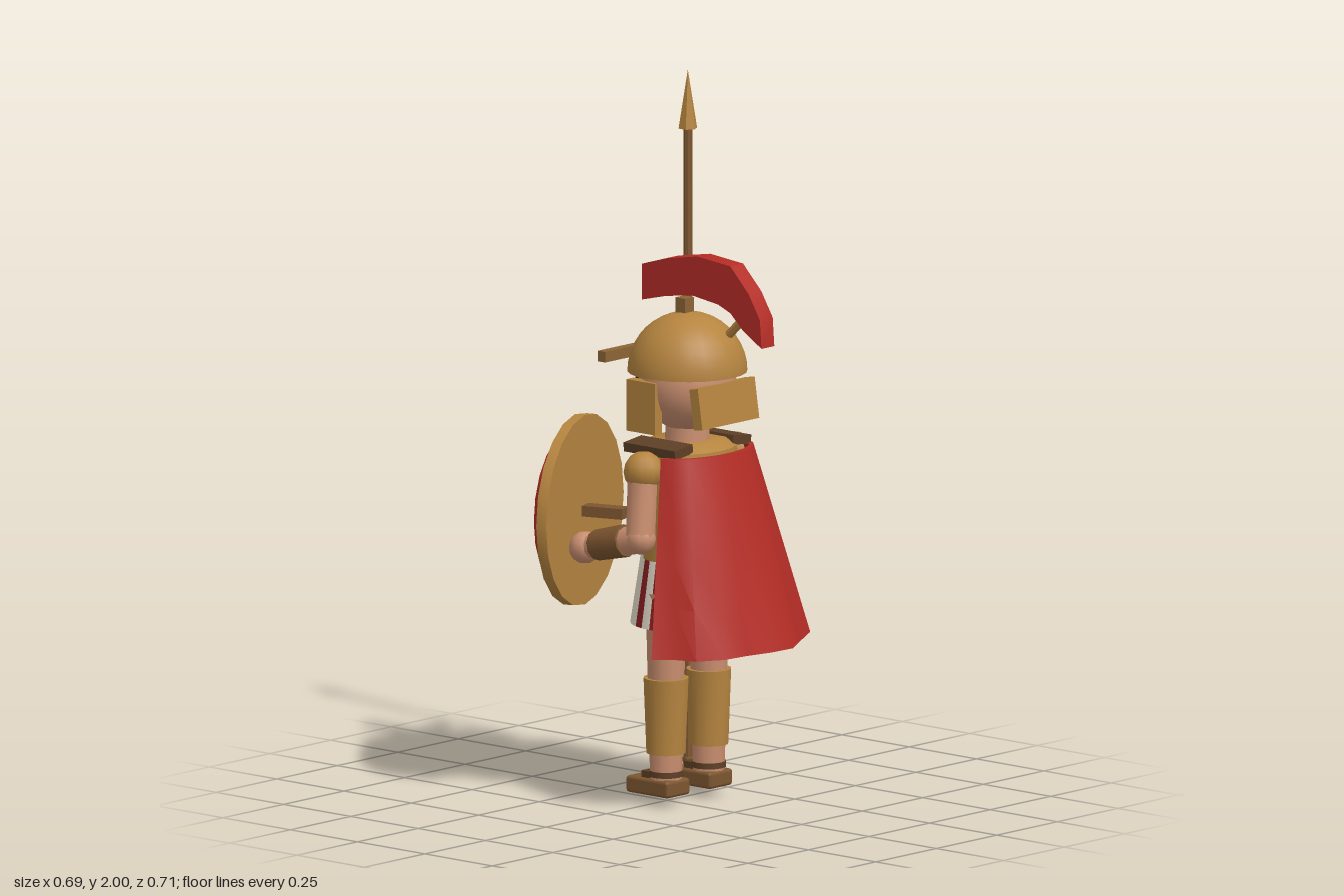
import * as THREE from 'three';
import { toCreasedNormals } from 'three/addons/utils/BufferGeometryUtils.js';
import { RoundedBoxGeometry } from 'three/addons/geometries/RoundedBoxGeometry.js';

const mat = (name, color, side = THREE.FrontSide) => {
  const m = new THREE.MeshStandardMaterial({ color, side });
  m.name = name;
  return m;
};

export function createModel() {
  const bronze = mat('bronze', 0xb5843f, THREE.DoubleSide);
  const darkBronze = mat('dark bronze', 0x8c6535);
  const red = mat('red cloth', 0xb52d26, THREE.DoubleSide);
  const darkRed = mat('dark red', 0x8e1f22);
  const skin = mat('skin', 0xc98e6f);
  const leather = mat('leather', 0x7d5630);
  const darkLeather = mat('dark leather', 0x5e4026);
  const cream = mat('cream linen', 0xe6dfcc);
  const black = mat('eye black', 0x2a1c14);

  const model = new THREE.Group();
  model.name = 'hopliteFigure';
  const body = new THREE.Group();
  body.name = 'body';
  body.position.set(0.043, 0, 0.037);
  model.add(body);

  const add = (name, geo, material, x = 0, y = 0, z = 0, parent = body) => {
    const m = new THREE.Mesh(geo, material);
    m.name = name;
    m.position.set(x, y, z);
    parent.add(m);
    return m;
  };
  const box = (w, h, d) => new THREE.BoxGeometry(w, h, d);
  const ball = (r, w = 10, h = 8) => new THREE.SphereGeometry(r, w, h);
  const cyl = (rt, rb, h, n = 12) => toCreasedNormals(new THREE.CylinderGeometry(rt, rb, h, n), 0.7);
  // Cylinder between two points; r0 belongs to the start point
  const limb = (name, a, b, r0, r1, material, n = 10, parent = body) => {
    const p = new THREE.Vector3(...a), q = new THREE.Vector3(...b), d = q.clone().sub(p);
    const m = add(name, cyl(r1, r0, d.length(), n), material, 0, 0, 0, parent);
    m.position.copy(p).add(q).multiplyScalar(0.5);
    m.quaternion.setFromUnitVectors(new THREE.Vector3(0, 1, 0), d.normalize());
    return m;
  };

  // Head and neck
  add('head', ball(0.137, 20, 14), skin, 0, 1.18, 0);
  add('neck', cyl(0.06, 0.065, 0.09), skin, 0, 1.035, 0);

  // Helmet
  add('helmetDome', new THREE.SphereGeometry(0.166, 24, 10, 0, Math.PI * 2, 0, Math.PI / 2), bronze, 0, 1.21, 0);
  add('browBand', box(0.348, 0.03, 0.027), darkBronze, 0, 1.253, -0.162);
  add('noseGuard', box(0.028, 0.08, 0.026), bronze, 0, 1.2, -0.153);
  add('neckGuard', box(0.235, 0.115, 0.032), bronze, 0, 1.135, 0.137).rotation.x = -0.15;
  add('crestHolder', box(0.036, 0.05, 0.036), darkBronze, 0, 1.39, -0.01);
  limb('rearCrestHolder', [0, 1.376, 0.201], [0, 1.333, 0.156], 0.013, 0.013, bronze, 8);

  // Crest drawn in side profile (z, y)
  const crest = new THREE.Shape([
    [-0.108, 1.495], [-0.02, 1.522], [0.098, 1.543], [0.22, 1.532], [0.288, 1.463], [0.33, 1.395], [0.336, 1.315],
    [0.267, 1.357], [0.22, 1.4], [0.175, 1.418], [0.077, 1.431], [-0.02, 1.416], [-0.108, 1.394],
  ].map(([z, y]) => new THREE.Vector2(-z, y)));
  const crestGeo = new THREE.ExtrudeGeometry(crest, { depth: 0.053, bevelEnabled: false });
  crestGeo.translate(0, 0, -0.0265).rotateY(Math.PI / 2);
  add('crest', toCreasedNormals(crestGeo, 0.7), red, 0, 0, -0.037);

  // Torso armour
  const cuirass = new THREE.LatheGeometry([[0, 0.69], [0.128, 0.69], [0.125, 0.77], [0.142, 0.87], [0.147, 0.95],
    [0.14, 1.0], [0.11, 1.02], [0, 1.02]].map(p => new THREE.Vector2(...p)), 18);
  add('cuirass', toCreasedNormals(cuirass, 0.7), bronze).scale.set(1.06, 1, 0.9);

  // Skirt panels coloured by their angle from the front
  const panels = 32;
  const skirt = new THREE.CylinderGeometry(0.127, 0.158, 0.205, panels, 1, true);
  skirt.clearGroups();
  const redPanels = [6, 8, 9, 10, 13, 14];
  for (let i = 0; i < panels; i++) {
    const fromFront = i < 16 ? 15 - i : i - 16;
    skirt.addGroup(i * 6, 6, redPanels.includes(fromFront) ? 1 : 0);
  }
  add('skirt', skirt, [cream, darkRed], 0, 0.605, 0);
  add('skirtLining', cyl(0.156, 0.156, 0.004, 32), leather, 0, 0.506, 0);

  for (const s of [-1, 1]) {
    const side = s > 0 ? 'left' : 'right';
    add(side + 'Eye', ball(0.018, 8, 6), black, s * 0.052, 1.19, -0.124);
    add(side + 'CheekGuard', box(0.03, 0.145, 0.105), bronze, s * 0.13, 1.122, -0.043);
    add(side + 'ChestPlate', ball(0.052, 12, 8), bronze, s * 0.06, 0.9, -0.1).scale.z = 0.75;
    add(side + 'ShoulderStrap', box(0.075, 0.026, 0.19), darkLeather, s * 0.12, 1.01, 0).rotation.z = -s * 0.12;
    add(side + 'ShoulderGuard', ball(0.056), bronze, s * 0.187, 0.955, 0.005);

    // Bent arm with bracer and fist
    const elbow = [s * 0.213, 0.77, 0.018], fist = [s * 0.213, 0.718, -0.19];
    limb(side + 'UpperArm', [s * 0.19, 0.95, 0.005], elbow, 0.043, 0.042, skin);
    add(side + 'Elbow', ball(0.044), skin, ...elbow);
    limb(side + 'Forearm', elbow, fist, 0.041, 0.034, skin);
    limb(side + 'Bracer', [s * 0.213, 0.758, -0.035], [s * 0.213, 0.73, -0.145], 0.046, 0.043, leather);
    add(side + 'Hand', ball(0.045), skin, ...fist);

    // Leg, greave and sandal
    const x = s * 0.088;
    add(side + 'Leg', cyl(0.058, 0.045, 0.53), skin, x, 0.335, 0);
    add(side + 'Greave', cyl(0.063, 0.055, 0.212, 14), bronze, x, 0.253, 0);
    add(side + 'AnkleStrap', cyl(0.049, 0.049, 0.016), darkLeather, x, 0.09, 0);
    add(side + 'SandalSole', new RoundedBoxGeometry(0.097, 0.048, 0.158, 1, 0.01), leather, x, 0.052, -0.03);
    add(side + 'SandalStrap', box(0.075, 0.024, 0.035), darkLeather, x, 0.083, -0.04);
  }

  // Cape: flared shell between a shoulder arc and a hem outline (x, z)
  const hem = [[-0.255, 0.172], [-0.212, 0.22], [-0.19, 0.28], [-0.117, 0.322], [-0.037, 0.33], [0.045, 0.348],
    [0.13, 0.352], [0.217, 0.3], [0.33, 0.235], [0.343, 0.17]];
  const n = hem.length, rows = 5, cross = n * 2;
  const pos = [], index = [];
  for (let r = 0; r < rows; r++) {
    const t = r / (rows - 1);
    const outer = hem.map(([hx, hz], i) => {
      const a = Math.PI * (i / (n - 1));
      const tx = 0.04 - 0.177 * Math.cos(a), tz = 0.1 + 0.1 * Math.sin(a);
      return [tx + (hx - tx) * t, tz + (hz - tz) * t];
    });
    const inner = outer.map(([x, z]) => [0.043 + (x - 0.043) * 0.92, 0.09 + (z - 0.09) * 0.88]).reverse();
    for (const [x, z] of [...outer, ...inner]) pos.push(x, 0.997 - 0.54 * t, z);
  }
  for (let r = 0; r < rows - 1; r++) for (let i = 0; i < cross; i++) {
    const j = (i + 1) % cross, a = r * cross, b = a + cross;
    index.push(a + i, b + i, b + j, a + i, b + j, a + j);
  }
  for (let i = 0; i < n - 1; i++) {
    const k = cross - 1 - i, e = (rows - 1) * cross;
    index.push(i, i + 1, k - 1, i, k - 1, k);
    index.push(e + i, e + k - 1, e + i + 1, e + i, e + k, e + k - 1);
  }
  const cape = new THREE.BufferGeometry();
  cape.setAttribute('position', new THREE.Float32BufferAttribute(pos, 3));
  cape.setIndex(index);
  add('cape', toCreasedNormals(cape, 0.6), red, 0, 0, 0, model);

  // Spear
  const spear = new THREE.Group();
  spear.name = 'spear';
  spear.position.set(0.256, 0, -0.153);
  model.add(spear);
  add('spearShaft', cyl(0.0125, 0.0125, 1.78, 8), leather, 0, 0.945, 0, spear);
  add('spearHead', cyl(0, 0.027, 0.165, 6), bronze, 0, 1.9175, 0, spear);
  add('spearButt', cyl(0.019, 0, 0.065, 6), darkBronze, 0, 0.0325, 0, spear);

  // Round shield; its local +y is the outward face
  const shield = new THREE.Group();
  shield.name = 'shield';
  shield.position.set(-0.086, 0.8, -0.246);
  shield.quaternion.setFromUnitVectors(new THREE.Vector3(0, 1, 0), new THREE.Vector3(-0.313, 0, -0.95).normalize());
  model.add(shield);
  add('shieldRim', cyl(0.267, 0.267, 0.03, 20), bronze, 0, 0, 0, shield);
  add('shieldFace', cyl(0.21, 0.237, 0.032, 20), red, 0, 0.031, 0, shield);
  const star = new THREE.Shape();
  for (let i = 0; i < 16; i++) {
    const a = i * Math.PI / 8, r = i % 2 ? 0.048 : 0.115;
    star[i ? 'lineTo' : 'moveTo'](r * Math.cos(a), r * Math.sin(a));
  }
  const starGeo = new THREE.ExtrudeGeometry(star, { depth: 0.008, bevelEnabled: false }).rotateX(-Math.PI / 2);
  add('shieldStar', starGeo, bronze, 0, 0.046, 0, shield);
  add('shieldBoss', cyl(0.028, 0.035, 0.022, 10), bronze, 0, 0.058, 0, shield);

  // Grip bar behind the shield, kept level
  const grip = add('shieldGrip', box(0.045, 0.03, 0.137), leather, -0.0645, 0.8, -0.181, model);
  grip.rotation.y = Math.atan2(0.313, 0.95);

  return model;
}
